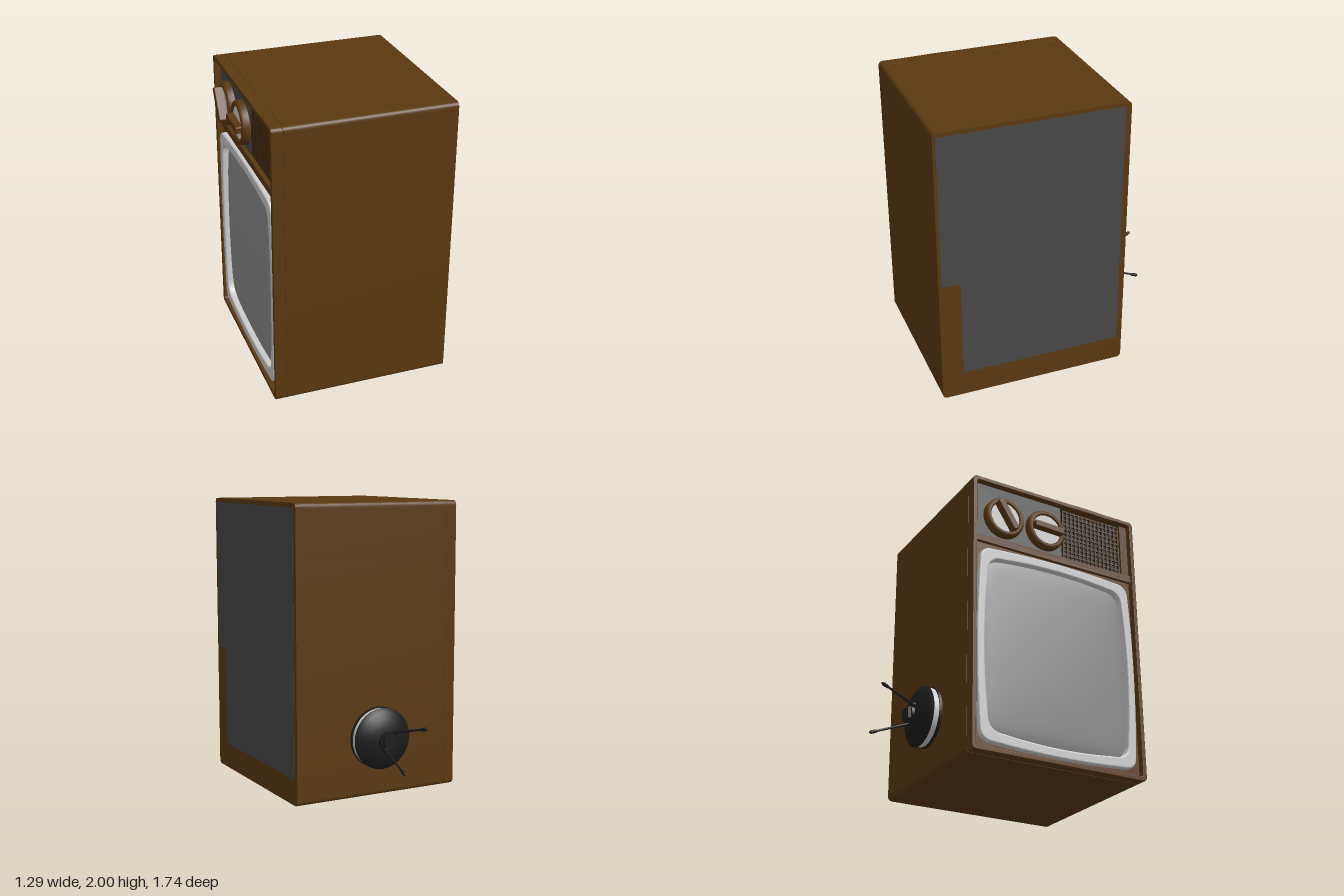
import * as THREE from 'three';

const mat = (color) => new THREE.MeshStandardMaterial({ color });

// Rectangle outline with rounded corners; bow pushes the sides outwards
function outline(x0, y0, x1, y1, r, bow = 0, Type = THREE.Shape) {
  const s = new Type();
  const mx = (x0 + x1) / 2, my = (y0 + y1) / 2, b = bow * 2;
  s.moveTo(x0 + r, y0);
  s.quadraticCurveTo(mx, y0 - b, x1 - r, y0);
  s.quadraticCurveTo(x1, y0, x1, y0 + r);
  s.quadraticCurveTo(x1 + b, my, x1, y1 - r);
  s.quadraticCurveTo(x1, y1, x1 - r, y1);
  s.quadraticCurveTo(mx, y1 + b, x0 + r, y1);
  s.quadraticCurveTo(x0, y1, x0, y1 - r);
  s.quadraticCurveTo(x0 - b, my, x0, y0 + r);
  s.quadraticCurveTo(x0, y0, x0 + r, y0);
  return s;
}

export function createModel() {
  const wood = mat(0x5a3810), darkWood = mat(0x35210a), dark = mat(0x484848);
  const black = mat(0x1c1c1c), chrome = mat(0xcccccc), glassMat = mat(0x8c8c8c);

  // The set lies on its side: built upright (x right, y up, z front), then turned
  const set = new THREE.Group();
  set.name = 'television';
  const add = (name, geometry, material, x = 0, y = 0, z = 0, parent = set) => {
    const m = new THREE.Mesh(geometry, material);
    m.name = name;
    m.position.set(x, y, z);
    parent.add(m);
    return m;
  };
  const extrude = (shape, depth, bevel = 0) => new THREE.ExtrudeGeometry(shape, {
    depth, bevelEnabled: bevel > 0, bevelSize: bevel, bevelThickness: bevel,
    bevelOffset: -bevel, bevelSegments: 3, curveSegments: 12,
  });
  const box = (w, h, d) => new THREE.BoxGeometry(w, h, d);

  // Cabinet: solid body with a raised rim around the recessed face
  add('cabinetBody', extrude(outline(0, -0.87, 2, 0.46, 0.035), 1.15), wood, 0, 0, -0.64);
  const rim = outline(0, -0.87, 2, 0.46, 0.035);
  rim.holes.push(outline(0.03, -0.84, 1.97, 0.43, 0.02, 0, THREE.Path));
  add('cabinetRim', extrude(rim, 0.07, 0.005), wood, 0, 0, 0.515);

  // Back cover with a stepped corner
  const cover = new THREE.Shape([[0.18, 0.42], [1.97, 0.42], [1.97, -0.85], [0.9, -0.85],
    [0.9, -0.72], [0.18, -0.72]].map(([x, y]) => new THREE.Vector2(x, y)));
  add('backCover', extrude(cover, 0.01), dark, 0, 0, -0.642);

  // Screen: surround, bright bezel and bulged glass
  const surround = outline(0.03, -0.84, 1.52, 0.43, 0.02);
  surround.holes.push(outline(0.09, -0.78, 1.44, 0.38, 0.09, 0.02, THREE.Path));
  add('screenSurround', extrude(surround, 0.035), wood, 0, 0, 0.51);
  const bezel = outline(0.07, -0.8, 1.46, 0.4, 0.1, 0.02);
  bezel.holes.push(outline(0.14, -0.74, 1.39, 0.34, 0.12, 0.025, THREE.Path));
  add('screenBezel', extrude(bezel, 0.055, 0.012), chrome, 0, 0, 0.515);

  const glass = new THREE.PlaneGeometry(2, 2, 32, 32);
  const p = glass.attributes.position;
  for (let i = 0; i < p.count; i++) {
    const u = p.getX(i), v = p.getY(i);
    const bulge = (1 - u * u) * (1 - v * v);
    // sides bow outwards and the corners are pulled in
    const corner = 1 - 0.07 * Math.pow(u * v, 6);
    p.setXYZ(i, u * corner * (0.635 + 0.025 * (1 - v * v)),
      v * corner * (0.55 + 0.025 * (1 - u * u)), 0.045 * Math.sqrt(bulge));
  }
  glass.computeVertexNormals();
  add('screenGlass', glass, glassMat, 0.765, -0.2, 0.535);

  // Control column: divider, knob plate, grille
  add('divider', box(0.05, 1.27, 0.06), wood, 1.53, -0.205, 0.54);
  add('knobPlate', box(0.42, 0.7, 0.03), dark, 1.76, 0.08, 0.53);
  add('grilleBacking', box(0.4, 0.5, 0.015), black, 1.76, -0.52, 0.52);
  for (let i = 0; i <= 14; i++) {
    add('grilleSlat', box(0.4, 0.012, 0.018), darkWood, 1.76, -0.29 - i * 0.034, 0.535);
  }
  for (let i = 0; i <= 11; i++) {
    add('grilleRib', box(0.012, 0.49, 0.014), darkWood, 1.565 + i * 0.0355, -0.528, 0.533);
  }
  add('grilleFrame', box(0.42, 0.06, 0.04), wood, 1.76, -0.81, 0.53);

  // Tuning knobs: collar, pale dial and slanted grip
  const collar = [[0.15, 0], [0.15, 0.035], [0.14, 0.05], [0.125, 0.055], [0.115, 0.05], [0.11, 0.04]]
    .map(([r, y]) => new THREE.Vector2(r, y));
  [[0.21, 32, 0.645], [-0.125, 88, 0.635]].forEach(([y, angle, top]) => {
    const knob = new THREE.Group();
    knob.name = 'tuningKnob';
    knob.position.set(1.73, y, 0.545);
    knob.rotation.z = THREE.MathUtils.degToRad(angle);
    set.add(knob);
    const ring = add('knobCollar', new THREE.LatheGeometry(collar, 40), wood, 0, 0, 0, knob);
    ring.rotation.x = Math.PI / 2;
    ring.material = wood.clone();
    ring.material.side = THREE.DoubleSide;
    const dial = add('knobDial', new THREE.CylinderGeometry(0.118, 0.118, 0.042, 40), chrome, 0, 0, 0.021, knob);
    dial.rotation.x = Math.PI / 2;
    const grip = top - 0.545 - 0.03;
    add('knobGrip', extrude(outline(-0.118, -0.024, 0.118, 0.024, 0.012), grip - 0.012, 0.006),
      wood, 0, 0, 0.036, knob);
  });

  // Aerial: stepped round base, swivel block and two rods
  const aerial = new THREE.Group();
  aerial.name = 'aerial';
  aerial.position.set(0.41, 0.46, -0.03);
  set.add(aerial);
  const cyl = (r0, r1, h) => new THREE.CylinderGeometry(r1, r0, h, 40);
  add('aerialFoot', cyl(0.21, 0.21, 0.02), black, 0, 0.01, 0, aerial);
  add('aerialBand', cyl(0.203, 0.203, 0.045), chrome, 0, 0.04, 0, aerial);
  const dome = [[0.2, 0.058], [0.21, 0.06], [0.21, 0.07], [0.185, 0.088], [0.14, 0.11], [0.085, 0.13], [0, 0.135]]
    .map(([r, y]) => new THREE.Vector2(r, y));
  add('aerialDome', new THREE.LatheGeometry(dome, 40), black, 0, 0, 0, aerial);
  add('aerialSwivel', cyl(0.065, 0.06, 0.02), black, 0, 0.14, 0, aerial);
  add('aerialBlock', box(0.08, 0.035, 0.085), black, 0, 0.153, 0, aerial);

  const rods = [[[0.05, 0.13, 0.05], [0.12, 0.41, 0.14]], [[-0.06, 0.13, -0.015], [-0.17, 0.41, -0.027]]];
  // slim rod thickening into a rounded tip
  const rodProfile = [[0, 0], [0.017, 0], [0.017, 0.05], [0.009, 0.06], [0.007, 0.78], [0.012, 0.86],
    [0.012, 0.96], [0.006, 1], [0, 1]];
  for (const [from, to] of rods) {
    const a = new THREE.Vector3(...from), d = new THREE.Vector3(...to).sub(a);
    const points = rodProfile.map(([r, t]) => new THREE.Vector2(r, t * d.length()));
    const rod = add('aerialRod', new THREE.LatheGeometry(points, 14), black, a.x, a.y, a.z, aerial);
    rod.quaternion.setFromUnitVectors(new THREE.Vector3(0, 1, 0), d.normalize());
    add('rodJoint', new THREE.SphereGeometry(0.02, 14, 10), black, a.x, a.y, a.z, aerial);
  }

  // Tip the set over: right side up, face towards -x, aerial towards -z
  const basis = new THREE.Matrix4().makeBasis(
    new THREE.Vector3(0, 1, 0), new THREE.Vector3(0, 0, -1), new THREE.Vector3(-1, 0, 0));
  set.quaternion.setFromRotationMatrix(basis);
  const model = new THREE.Group();
  model.name = 'televisionOnItsSide';
  model.add(set);
  return model;
}
